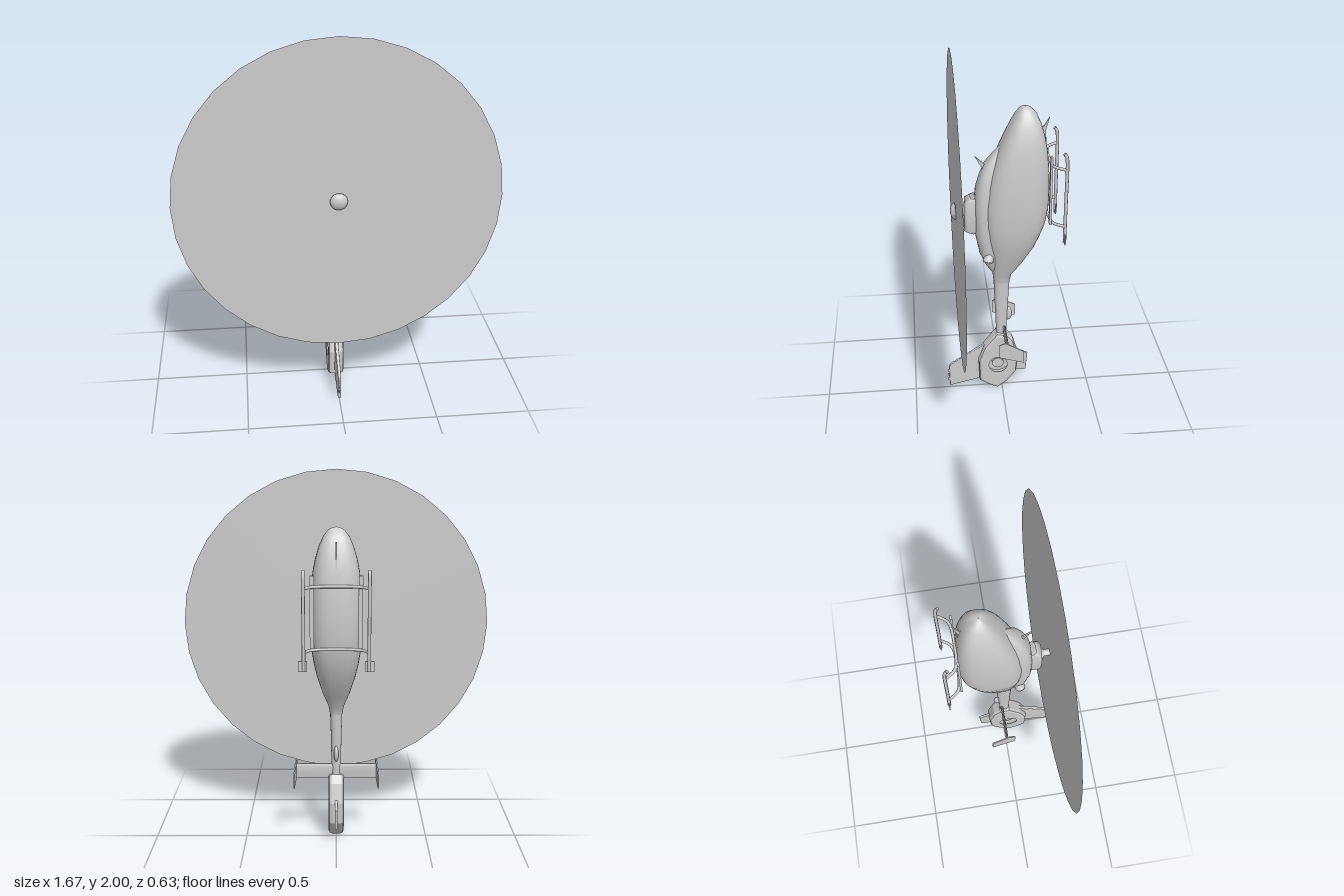
import * as THREE from 'three';

const grey = new THREE.MeshStandardMaterial({ color: 0xcccccc, side: THREE.DoubleSide });
const V = (x, y, z) => new THREE.Vector3(x, y, z);

function add(parent, name, geometry, x = 0, y = 0, z = 0) {
  const mesh = new THREE.Mesh(geometry, grey);
  mesh.name = name;
  mesh.position.set(x, y, z);
  parent.add(mesh);
  return mesh;
}

// Skin over rounded-box sections; station = [y, zFront, zBack, halfWidth], y rising
function loft(stations, power, n = 32) {
  const pos = [], index = [];
  const soft = (v) => Math.sign(v) * Math.abs(v) ** power;
  for (const [y, zf, zb, hx] of stations) {
    for (let i = 0; i < n; i++) {
      const a = (i / n) * Math.PI * 2;
      pos.push(hx * soft(Math.cos(a)), y, (zf + zb) / 2 + ((zf - zb) / 2) * soft(Math.sin(a)));
    }
  }
  for (let s = 0; s < stations.length - 1; s++) {
    for (let i = 0; i < n; i++) {
      const a = s * n + i, b = s * n + (i + 1) % n;
      index.push(a, a + n, b, b, a + n, b + n);
    }
  }
  const g = new THREE.BufferGeometry();
  g.setAttribute('position', new THREE.Float32BufferAttribute(pos, 3));
  g.setIndex(index);
  g.computeVertexNormals();
  return g;
}

// Plate in the z-y plane, centred on its own x = 0
function plate(points, thickness, bevel = 0, hole = null) {
  const shape = new THREE.Shape(points.map(([z, y]) => new THREE.Vector2(z, y)));
  if (hole) shape.holes.push(new THREE.Path().absarc(hole[0], hole[1], hole[2], 0, Math.PI * 2, true));
  const depth = thickness - 2 * bevel;
  const g = new THREE.ExtrudeGeometry(shape, {
    depth, curveSegments: 24, bevelEnabled: bevel > 0,
    bevelThickness: bevel, bevelSize: bevel, bevelOffset: -bevel, bevelSegments: 2,
  });
  return g.translate(0, 0, -depth / 2).rotateY(-Math.PI / 2);
}

const tube = (points, r) =>
  new THREE.TubeGeometry(new THREE.CatmullRomCurve3(points, false, 'centripetal'), 24, r, 8);
const lathe = (points, n) =>
  new THREE.LatheGeometry(points.map(([r, h]) => new THREE.Vector2(r, h)), n).rotateX(Math.PI / 2);

export function createModel() {
  const model = new THREE.Group();
  model.name = 'helicopter';

  // Body, nose upward
  add(model, 'fuselage', loft([
    [0.72, 0.044, -0.042, 0.033], [0.77, 0.05, -0.052, 0.043], [0.85, 0.062, -0.11, 0.073],
    [0.95, 0.08, -0.17, 0.102], [1.02, 0.093, -0.2, 0.118], [1.1, 0.1, -0.228, 0.13],
    [1.2, 0.1, -0.243, 0.135], [1.32, 0.08, -0.245, 0.135], [1.42, 0.05, -0.24, 0.13],
    [1.51, 0.018, -0.231, 0.12], [1.58, -0.012, -0.217, 0.106], [1.64, -0.04, -0.2, 0.088],
    [1.69, -0.066, -0.178, 0.066], [1.72, -0.087, -0.152, 0.042], [1.732, -0.102, -0.133, 0.022],
    [1.736, -0.116, -0.118, 0.001],
  ], 0.72));
  add(model, 'engineCowling', loft([
    [0.77, 0.045, 0, 0.02], [0.84, 0.088, 0, 0.055], [0.92, 0.122, 0, 0.078],
    [1.05, 0.146, 0, 0.088], [1.18, 0.147, 0, 0.088], [1.29, 0.138, 0, 0.082],
    [1.36, 0.118, 0, 0.07], [1.43, 0.09, 0, 0.055], [1.5, 0.035, -0.02, 0.03],
    [1.54, 0.0, -0.03, 0.002],
  ], 0.75));
  add(model, 'tailBoom', loft([
    [0.28, 0.03, -0.022, 0.024], [0.45, 0.034, -0.028, 0.026], [0.6, 0.04, -0.036, 0.029],
    [0.76, 0.046, -0.045, 0.034],
  ], 0.85, 20));
  add(model, 'boomFairing', new THREE.SphereGeometry(0.022, 16, 10), 0, 0.5, -0.035).scale.set(0.6, 2, 1);

  // Rotor mast and blurred rotor disc
  add(model, 'mastFairing', loft([
    [1.04, 0.165, 0.12, 0.035], [1.06, 0.2, 0.12, 0.048], [1.15, 0.2, 0.12, 0.052],
    [1.23, 0.195, 0.12, 0.045], [1.25, 0.165, 0.12, 0.035],
  ], 0.5));
  add(model, 'rotorMast', lathe([[0.032, 0.19], [0.026, 0.205], [0.018, 0.21], [0.018, 0.25]], 20), 0, 1.165, 0);
  add(model, 'rotorHub', lathe([[0, 0.24], [0.046, 0.242], [0.044, 0.25], [0.034, 0.261], [0.018, 0.268], [0, 0.27]], 24), 0, 1.165, 0);
  add(model, 'rotorDisc', new THREE.CircleGeometry(0.836, 32), 0, 1.165, 0.24);

  // Wire cutters above and below the cabin
  add(model, 'upperWireCutter', plate([[0.05, 1.39], [0.095, 1.38], [0.108, 1.42], [0.138, 1.475], [0.1, 1.44]], 0.008));
  add(model, 'lowerWireCutter', plate([[-0.195, 1.62], [-0.225, 1.54], [-0.222, 1.6], [-0.242, 1.675], [-0.213, 1.625]], 0.008));

  // Landing gear
  for (const y of [1.135, 1.455]) {
    const half = [[0.165, -0.308], [0.148, -0.28], [0.125, -0.255], [0.09, -0.244]];
    const path = [...half.map(([x, z]) => V(-x, y, z)), ...half.reverse().map(([x, z]) => V(x, y, z))];
    add(model, 'crossTube', tube(path, 0.008));
  }
  for (const s of [-1, 1]) {
    add(model, 'skid', tube([V(s * 0.163, 1.04, -0.31), V(s * 0.163, 1.25, -0.31),
      V(s * 0.163, 1.49, -0.31), V(s * 0.163, 1.525, -0.306), V(s * 0.163, 1.543, -0.294)], 0.009));
    add(model, 'skidPad', new THREE.BoxGeometry(0.044, 0.055, 0.006), s * 0.168, 1.065, -0.31);
    add(model, 'stepBoard', new THREE.BoxGeometry(0.022, 0.38, 0.012), s * 0.122, 1.32, -0.238);

    // Engine exhaust
    const exhaust = add(model, 'exhaust', lathe([[0.02, -0.05], [0.028, 0.02], [0.024, 0.03], [0.018, 0], [0, 0]], 20), s * 0.065, 0.91, 0.075);
    exhaust.rotation.set(Math.PI / 2 - 0.3, s * 0.5, 0);

    // Canted end plates of the tailplane
    const end = add(model, 'endPlate', plate([[0.035, 0.08], [0.035, 0], [0, -0.01], [-0.1, -0.035],
      [-0.1, 0.04], [0, 0.095]], 0.007), s * 0.22, 0.36, 0);
    end.rotation.y = -s * 0.08;
  }
  add(model, 'tailplane', loft([
    [0.35, -0.011, -0.013, 0.22], [0.38, -0.006, -0.017, 0.22], [0.42, -0.004, -0.02, 0.22],
    [0.436, -0.011, -0.013, 0.22],
  ], 0.2));

  // Shrouded tail fan
  const fan = [0.025, 0.172];
  add(model, 'fanShroud', plate([[0.03, 0.385], [0.1, 0.295], [0.135, 0.2], [0.13, 0.06], [0.075, 0.022], [0.027, 0],
    [-0.03, 0.045], [-0.08, 0.11], [-0.09, 0.23], [-0.06, 0.335], [-0.025, 0.375]], 0.084, 0.018, [...fan, 0.07]));
  add(model, 'fanDisc', new THREE.CircleGeometry(0.085, 32).rotateY(Math.PI / 2), 0, fan[1], fan[0]);
  add(model, 'fanHub', new THREE.CylinderGeometry(0.033, 0.033, 0.05, 24).rotateZ(Math.PI / 2), 0, fan[1], fan[0]);

  // Fins either side of the shroud, with trailing static wicks
  add(model, 'upperFin', plate([[0.03, 0.345], [0.295, 0.168], [0.305, 0.15], [0.302, 0.015], [0.13, 0.056], [0.115, 0.2]], 0.018, 0.006));
  add(model, 'lowerFin', plate([[-0.07, 0.26], [-0.09, 0.245], [-0.148, 0.215], [-0.138, 0.1], [-0.075, 0.1]], 0.016, 0.005));
  for (const y of [0.06, 0.09, 0.12]) {
    add(model, 'staticWick', new THREE.BoxGeometry(0.004, 0.018, 0.012), 0, y, 0.305);
  }
  return model;
}
